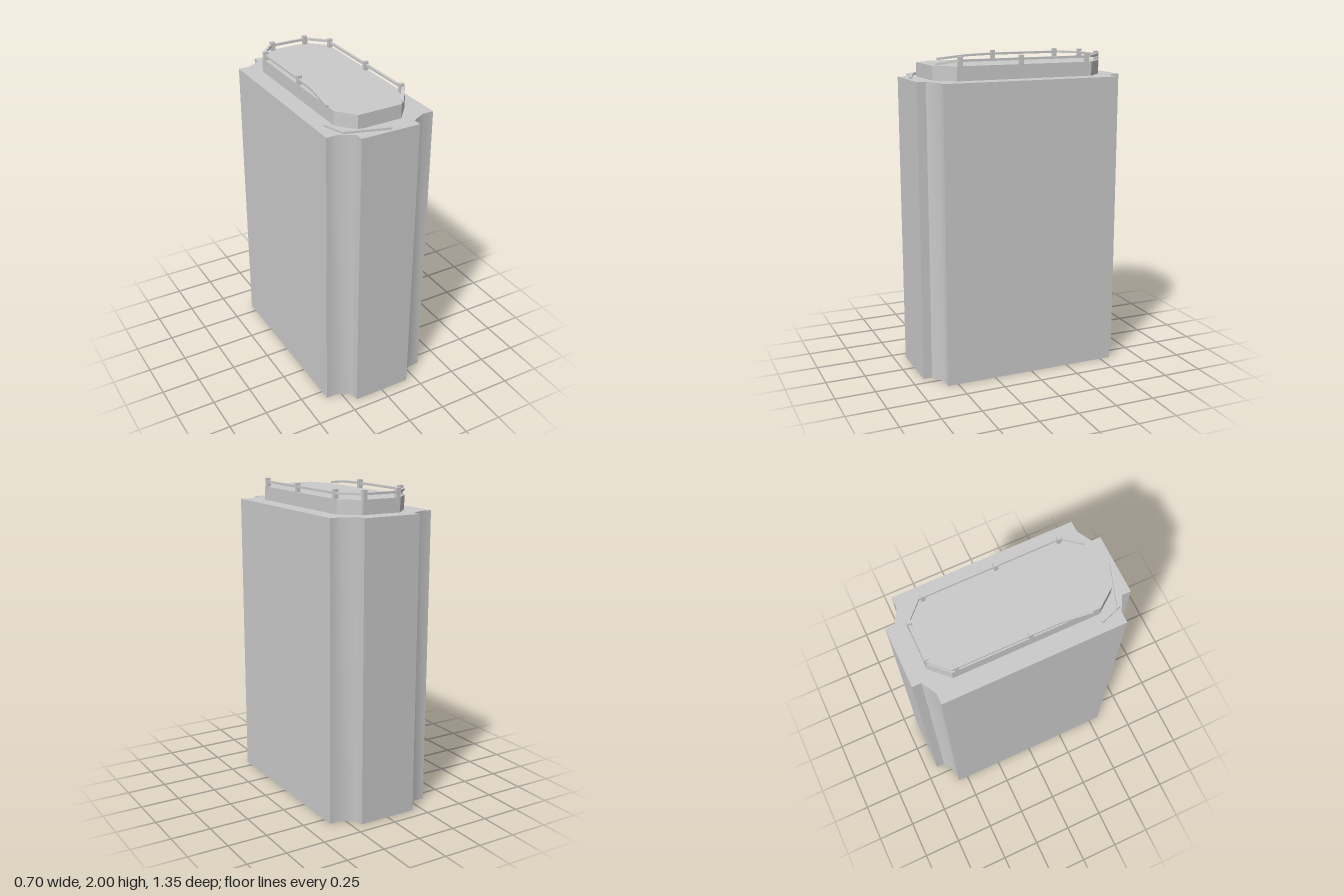
import * as THREE from 'three';
import { toCreasedNormals } from 'three/addons/utils/BufferGeometryUtils.js';

const material = new THREE.MeshStandardMaterial({ color: 0xcccccc });

function add(group, name, geometry) {
  const mesh = new THREE.Mesh(geometry, material);
  mesh.name = name;
  group.add(mesh);
  return mesh;
}

// Vertical prism from an [x, z] outline
function prism(outline, bottom, top) {
  const shape = new THREE.Shape(outline.map(([x, z]) => new THREE.Vector2(x, -z)));
  const g = new THREE.ExtrudeGeometry(shape, { depth: top - bottom, bevelEnabled: false });
  g.rotateX(-Math.PI / 2).translate(0, bottom, 0);
  return toCreasedNormals(g, 0.6);
}

// Square-section bar through [x, y, z] points, with mitred corners
function bar(points, width, height) {
  const p = points.map((a) => new THREE.Vector3(...a));
  const flat = (a, b) => new THREE.Vector3(b.x - a.x, 0, b.z - a.z).normalize();
  const pos = [], index = [];
  p.forEach((c, i) => {
    const before = flat(p[Math.max(i - 1, 0)], p[Math.max(i, 1)]);
    const last = p.length - 1;
    const after = flat(p[Math.min(i, last - 1)], p[Math.min(i + 1, last)]);
    const dir = before.clone().add(after).normalize();
    const w = width / 2 / dir.dot(before);
    for (const [s, t] of [[-1, -1], [1, -1], [1, 1], [-1, 1]]) {
      pos.push(c.x - dir.z * s * w, c.y + t * height / 2, c.z + dir.x * s * w);
    }
    if (i < last) {
      for (let k = 0; k < 4; k++) {
        const a = i * 4 + k, b = i * 4 + (k + 1) % 4;
        index.push(a, b + 4, b, a, a + 4, b + 4);
      }
    }
  });
  const e = (p.length - 1) * 4;
  index.push(0, 1, 2, 0, 2, 3, e, e + 2, e + 1, e, e + 3, e + 2);
  // Orient outward whichever way the section winds
  const g = new THREE.BufferGeometry();
  g.setAttribute('position', new THREE.Float32BufferAttribute(pos, 3));
  g.setIndex(index);
  let volume = 0;
  const v = (i) => new THREE.Vector3().fromArray(pos, i * 3).sub(p[0]);
  for (let i = 0; i < index.length; i += 3) {
    volume += v(index[i]).dot(v(index[i + 1]).cross(v(index[i + 2])));
  }
  if (volume < 0) g.setIndex(index.slice().reverse());
  return toCreasedNormals(g, 0.3);
}

export function createModel() {
  const model = new THREE.Group();
  model.name = 'towerBlock';

  // Main tower with stepped corner notches, one quarter mirrored four ways
  const quarter = [[0.35, 0.567], [0.28, 0.567], [0.19, 0.617], [0.19, 0.673]];
  const mirror = (sx, sz) => quarter.map(([x, z]) => [x * sx, z * sz]);
  const footprint = [
    ...mirror(1, 1), ...mirror(-1, 1).reverse(),
    ...mirror(-1, -1), ...mirror(1, -1).reverse(),
  ];
  add(model, 'tower', prism(footprint, 0, 1.858));

  // Raised rooftop platform
  add(model, 'roofPlatform', prism([
    [0.238, 0.44], [0.14, 0.557], [-0.15, 0.565], [-0.238, 0.45],
    [-0.238, -0.45], [-0.13, -0.557], [0.13, -0.557], [0.238, -0.45],
  ], 1.858, 1.945));

  // Railing posts
  const railing = new THREE.Group();
  railing.name = 'railing';
  model.add(railing);
  const posts = [
    [-0.118, -0.549], [0.112, -0.549], [-0.228, -0.42], [0.226, -0.42],
    [-0.228, 0.022], [0.226, 0.022], [0.226, 0.416],
  ];
  for (const [x, z] of posts) {
    add(railing, 'post', new THREE.BoxGeometry(0.027, 0.1, 0.025)).position.set(x, 1.95, z);
  }

  // Handrail around the back and sides, with both front ends broken and sagging
  const y = 1.977;
  add(railing, 'handrail', bar([
    [-0.246, 1.953, 0.395], [-0.229, 1.972, 0.2], [-0.229, y, 0.022],
    [-0.229, y, -0.447], [-0.128, y, -0.55], [0.122, y, -0.55], [0.227, y, -0.447],
    [0.23, y, 0.425], [0.15, 1.953, 0.545],
  ], 0.016, 0.014));

  // Fallen piece of handrail lying on the ledge
  add(model, 'fallenRail', bar([
    [-0.287, 1.866, 0.438], [-0.242, 1.866, 0.568], [0.015, 1.868, 0.652],
  ], 0.02, 0.014));

  return model;
}
